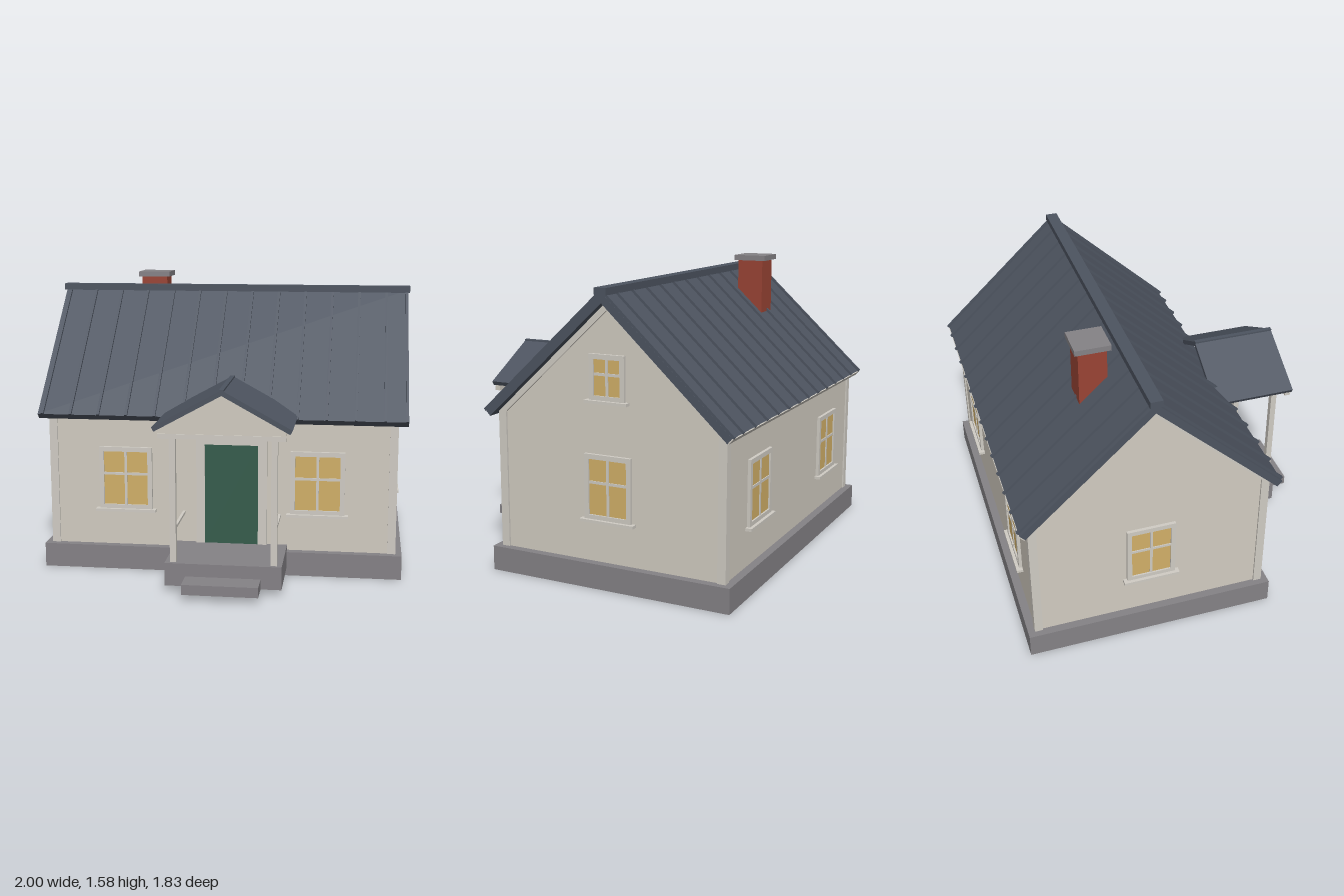
import * as THREE from 'three';

const paint = (name, color) => {
  const m = new THREE.MeshStandardMaterial({ color });
  m.name = name;
  return m;
};

export function createModel() {
  const wall = paint('wall cream', 0xd2ccc1);
  const trim = paint('trim cream', 0xd0ccc4);
  const roofing = paint('roof slate', 0x4d5460);
  const stone = paint('stone grey', 0x858286);
  const brick = paint('brick red', 0x9a4434);
  const glass = paint('warm glass', 0xd2b068);
  const green = paint('door green', 0x365c4c);

  const house = new THREE.Group();
  house.name = 'house';

  const add = (name, geometry, material, parent = house) => {
    const mesh = new THREE.Mesh(geometry, material);
    mesh.name = name;
    parent.add(mesh);
    return mesh;
  };
  // Box given by its limits on each axis
  const box = (name, material, x0, x1, y0, y1, z0, z1, parent = house) => {
    const mesh = add(name, new THREE.BoxGeometry(x1 - x0, y1 - y0, z1 - z0), material, parent);
    mesh.position.set((x0 + x1) / 2, (y0 + y1) / 2, (z0 + z1) / 2);
    return mesh;
  };
  const prism = (points, depth) => new THREE.ExtrudeGeometry(
    new THREE.Shape(points.map(([x, y]) => new THREE.Vector2(x, y))),
    { depth, bevelEnabled: false });
  // Prism running along x, its profile symmetric about the ridge
  const ridgePrism = (name, material, points, x0, x1) => {
    const mesh = add(name, prism(points, x1 - x0).rotateY(Math.PI / 2), material);
    mesh.position.set(x0, 0, ridgeZ);
    return mesh;
  };
  // Mirrors a half profile listed from the upper apex outwards and back to the lower apex
  const chevron = (half) => [...half, ...half.slice(1, -1).reverse().map(([x, y]) => [-x, y])];

  const ridgeZ = -0.223;
  const slope = 0.93;
  const pitch = Math.atan(slope);
  const apex = 1.49;
  const under = apex - 0.052;

  // Plinth and walls
  box('plinth', stone, -0.973, 0.973, 0, 0.13, -0.892, 0.446);
  const eaveWall = under - slope * 0.626;
  ridgePrism('walls', wall, [[-0.626, 0.13], [0.626, 0.13], [0.626, eaveWall], [0, under], [-0.626, eaveWall]], -0.93, 0.93);

  // Corner boards and gable rake boards
  for (const sx of [-1, 1]) {
    for (const sz of [-1, 1]) {
      const x = sx * 0.918, z = ridgeZ + sz * 0.612;
      box('cornerBoard', trim, x - 0.022, x + 0.022, 0.13, 0.855, z - 0.022, z + 0.022);
    }
    const rake = chevron([[0, under], [0.632, under - slope * 0.632], [0.632, under - 0.04 - slope * 0.632], [0, under - 0.04]]);
    ridgePrism('rakeBoard', trim, rake, sx > 0 ? 0.925 : -0.94, sx > 0 ? 0.94 : -0.925);
  }

  // Main roof with standing seams and ridge cap
  const eaveY = apex - slope * 0.68;
  ridgePrism('roof', roofing, chevron([[0, apex], [0.68, eaveY], [0.654, eaveY - 0.028], [0, under]]), -0.99, 0.99);
  for (const side of [-1, 1]) {
    for (let i = 0; i < 14; i++) {
      const seam = add('roofSeam', new THREE.BoxGeometry(0.014, 0.016, 0.936), roofing);
      seam.position.set(Math.min(-0.963 + i * 0.1527, 0.982), apex - slope * 0.342 + 0.005, ridgeZ + side * 0.344);
      seam.rotation.x = side * pitch;
    }
  }
  box('ridgeCap', roofing, -1, 1, 1.476, 1.512, ridgeZ - 0.032, ridgeZ + 0.032);
  const fascia = add('backFascia', new THREE.BoxGeometry(1.98, 0.036, 0.006), trim);
  fascia.position.set(0, eaveY - 0.015, ridgeZ - 0.669);
  fascia.rotation.x = -pitch;

  // Chimney
  box('chimney', brick, -0.565, -0.417, 1.15, 1.55, -0.48, -0.333);
  box('chimneyCap', stone, -0.582, -0.4, 1.548, 1.577, -0.5, -0.314);

  // Windows, modelled facing +z and turned onto each wall
  const addWindow = (x, y, z, turn, w, h) => {
    const g = new THREE.Group();
    g.name = 'window';
    g.position.set(x, y, z);
    g.rotation.y = turn;
    house.add(g);
    const a = w / 2, b = h / 2, f = 0.025;
    box('pane', glass, -a + f, a - f, -b + f, b - f, -0.005, 0.008, g);
    for (const s of [-1, 1]) {
      box('frameSide', trim, s * (a - f / 2) - f / 2, s * (a - f / 2) + f / 2, -b, b, -0.005, 0.017, g);
      box('frameRail', trim, -a + f, a - f, s * (b - f / 2) - f / 2, s * (b - f / 2) + f / 2, -0.005, 0.017, g);
    }
    box('mullion', trim, -0.007, 0.007, -b + f, b - f, 0, 0.013, g);
    box('glazingBar', trim, -a + f, a - f, b * 0.14 - 0.007, b * 0.14 + 0.007, 0, 0.013, g);
    box('sill', trim, -a - 0.02, a + 0.02, -b - 0.012, -b + 0.003, -0.005, 0.034, g);
  };
  for (const x of [-0.52, 0.52]) {
    addWindow(x, 0.505, ridgeZ + 0.626, 0, 0.29, 0.345);
    addWindow(x, 0.505, ridgeZ - 0.626, Math.PI, 0.29, 0.345);
  }
  addWindow(0.93, 0.518, ridgeZ, Math.PI / 2, 0.26, 0.335);
  addWindow(0.93, 1.071, ridgeZ, Math.PI / 2, 0.195, 0.23);
  addWindow(-0.93, 0.518, ridgeZ, -Math.PI / 2, 0.26, 0.335);

  // Door with its surround
  const px = 0.058;
  box('doorSurroundLeft', trim, 0.202, 0.25, 0.157, 0.755, 0.4, 0.42);
  box('doorSurroundRight', trim, -0.132, -0.086, 0.157, 0.755, 0.4, 0.42);
  box('doorSurroundTop', trim, -0.086, 0.202, 0.705, 0.755, 0.4, 0.42);
  box('door', green, -0.086, 0.202, 0.157, 0.705, 0.4, 0.415);

  // Porch deck, step, posts and handrails
  box('porchDeck', stone, px - 0.302, px + 0.302, 0.037, 0.158, 0.4, 0.784);
  box('porchStep', stone, px - 0.195, px + 0.195, 0.037, 0.09, 0.784, 0.912);
  for (const s of [-1, 1]) {
    const x = px + s * 0.26;
    box('porchPost', trim, x - 0.016, x + 0.016, 0.158, 0.862, 0.734, 0.766);
    box('porchRail', trim, x - 0.007, x + 0.007, 0.316, 0.33, 0.4, 0.736);
  }

  // Porch roof and pediment
  const porchRoof = add('porchRoof', prism(chevron([[0, 1.07], [0.354, 0.876], [0.342, 0.854], [0, 1.042]]), 0.465), roofing);
  porchRoof.position.set(px, 0, 0.36);
  const pediment = add('pediment', prism([[-0.322, 0.82], [0.322, 0.82], [0.322, 0.866], [0, 1.043], [-0.322, 0.866]], 0.028), wall);
  pediment.position.set(px, 0, 0.795);
  box('pedimentBase', trim, px - 0.322, px + 0.322, 0.82, 0.845, 0.795, 0.828);
  box('porchRidgeCap', roofing, px - 0.012, px + 0.012, 1.058, 1.073, 0.36, 0.826);

  return house;
}
